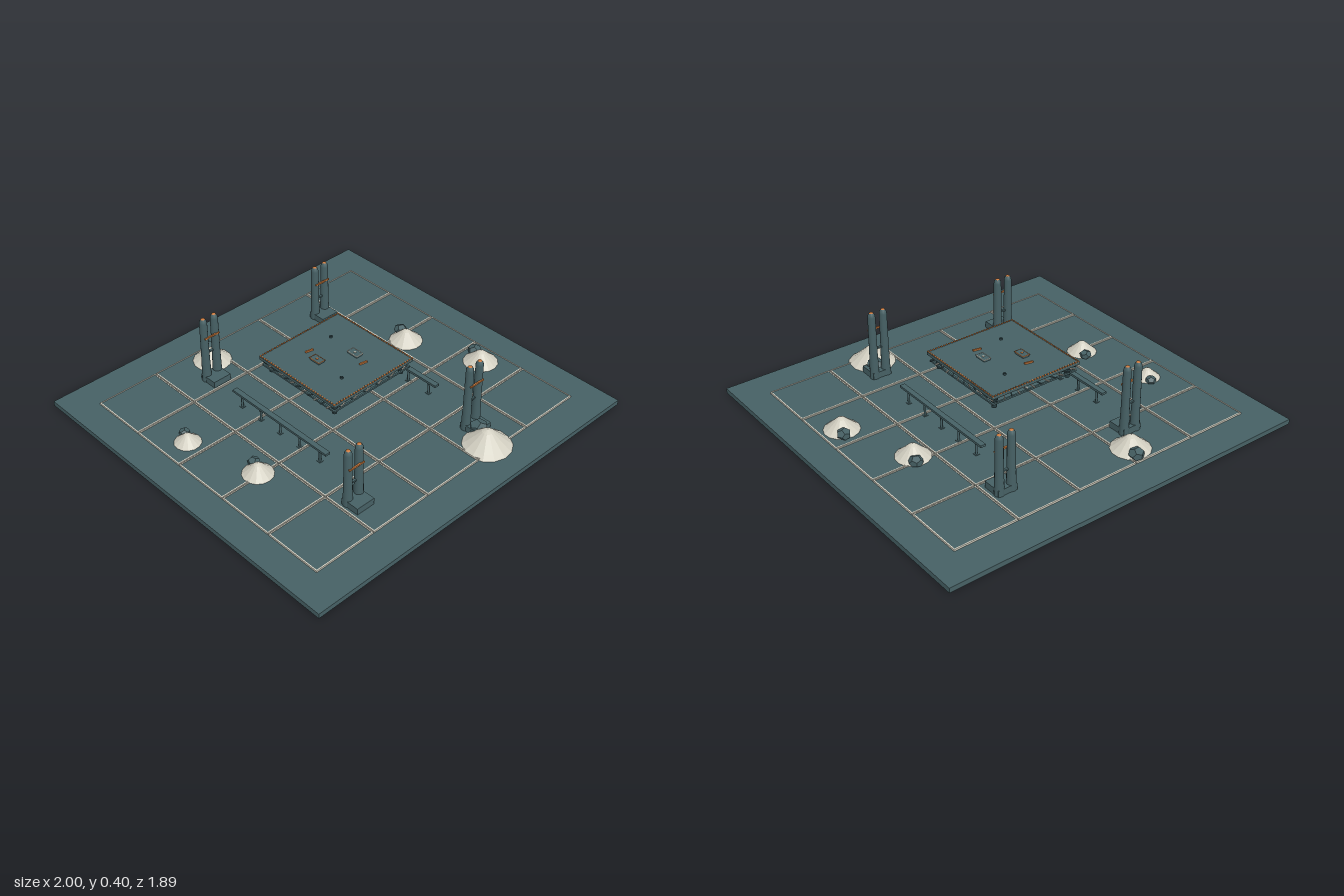
import * as THREE from 'three';

const mat = (name, color) => {
  const m = new THREE.MeshStandardMaterial({ color });
  m.name = name;
  return m;
};

export function createModel() {
  const root = new THREE.Group();
  root.name = 'industrialYard';
  const teal = mat('slate teal', 0x466064);
  const dark = mat('dark teal', 0x2b4044);
  const pale = mat('pale sand', 0xd3d0c2);
  const orange = mat('copper orange', 0xc8783c);

  const add = (parent, name, geo, material, x = 0, y = 0, z = 0) => {
    const m = new THREE.Mesh(geo, material);
    m.name = name;
    m.position.set(x, y, z);
    parent.add(m);
    return m;
  };
  const box = (parent, name, material, w, h, d, x, y, z) =>
    add(parent, name, new THREE.BoxGeometry(w, h, d), material, x, y, z);
  const group = (name, x = 0, y = 0, z = 0) => {
    const g = new THREE.Group();
    g.name = name;
    g.position.set(x, y, z);
    root.add(g);
    return g;
  };
  // square bar between two points
  const strut = (parent, name, material, a, b, t) => {
    const p = new THREE.Vector3(...a), q = new THREE.Vector3(...b);
    const m = box(parent, name, material, t, t, p.distanceTo(q), 0, 0, 0);
    m.position.copy(p).add(q).multiplyScalar(0.5);
    m.lookAt(q);
  };

  // ground slab
  box(root, 'groundSlab', teal, 2, 0.026, 1.894, 0, 0.013, -0.003);

  // paving tiles, each with a pale rim
  const px = 0.341, pz = 0.31, w = px - 0.005, d = pz - 0.005, rim = 0.006;
  for (let i = -2; i <= 2; i++) for (let j = -2; j <= 2; j++) {
    const g = group('tile', i * px, 0, j * pz - 0.003);
    box(g, 'tilePlate', teal, w - rim, 0.007, d - rim, 0, 0.0295, 0);
    for (const s of [-1, 1]) {
      box(g, 'tileRim', pale, rim, 0.009, d, s * (w - rim) / 2, 0.0305, 0);
      box(g, 'tileRim', pale, w - rim * 2, 0.009, rim, 0, 0.0305, s * (d - rim) / 2);
    }
  }

  // sand mounds with a boulder behind each: x, z, radius, top
  const mounds = [
    [-0.23, -0.67, 0.106, 0.108], [-0.72, -0.255, 0.073, 0.086],
    [-0.625, 0.137, 0.083, 0.096], [0.6, -0.11, 0.094, 0.102],
    [0.742, 0.277, 0.096, 0.102], [0.283, 0.72, 0.125, 0.123],
  ];
  mounds.forEach(([x, z, r, top], k) => {
    const g = group('mound', x, 0.028, z);
    const h = top - 0.028;
    const profile = [[1, 0], [0.8, 0.2], [0.5, 0.54], [0.22, 0.87], [0.001, 1]]
      .map(([a, b]) => new THREE.Vector2(a * r, b * h));
    const sand = new THREE.LatheGeometry(profile, 14).toNonIndexed();
    sand.computeVertexNormals();
    add(g, 'sandPile', sand, pale).rotation.y = k * 0.7;
    const rock = add(g, 'boulder', new THREE.DodecahedronGeometry(r * 0.38, 0), teal,
      r * 0.31, r * 0.26, -r * 0.7);
    rock.scale.y = 0.8;
    rock.rotation.y = k * 0.9;
  });

  // twin stacks: centre x, z, top height, brace height
  const stacks = [
    [-0.319, -0.562, 0.405, 0.295], [0.434, -0.583, 0.352, 0.25],
    [-0.437, 0.565, 0.352, 0.25], [0.331, 0.575, 0.405, 0.295],
  ];
  for (const [x, z, top, brace] of stacks) {
    const g = group('twinStack', x, 0, z);
    box(g, 'stackBase', teal, 0.104, 0.038, 0.1, 0, 0.048, 0.03);
    for (const s of [-1, 1]) {
      const h = top - 0.03;
      const column = [[0.0245, 0], [0.021, h * 0.4], [0.0195, h - 0.026], [0.017, h - 0.014], [0.011, h - 0.004]]
        .map(([a, b]) => new THREE.Vector2(a, b));
      add(g, 'stackColumn', new THREE.LatheGeometry(column, 14), teal, s * 0.0335, 0.028, 0);
      add(g, 'stackTip', new THREE.SphereGeometry(0.0112, 12, 5, 0, Math.PI * 2, 0, Math.PI / 2), orange,
        s * 0.0335, top - 0.008, 0).scale.y = 0.5;
    }
    box(g, 'stackBrace', orange, 0.09, 0.008, 0.008, 0, brace, 0.02);
    box(g, 'stackRung', teal, 0.05, 0.008, 0.012, 0, brace - 0.1, 0);
  }

  // raised rails on posts
  for (const s of [-1, 1]) {
    const g = group('rail', s * 0.364, 0, -0.003);
    box(g, 'railBeam', teal, 0.028, 0.012, 0.655, 0, 0.107, 0);
    for (let i = -2; i <= 2; i++) {
      add(g, 'railPost', new THREE.CylinderGeometry(0.006, 0.006, 0.076, 8), teal, 0, 0.065, i * 0.137);
      box(g, 'railFoot', teal, 0.022, 0.006, 0.022, 0, 0.033, i * 0.137);
    }
  }

  // hovering platform
  const deck = group('platform', 0, 0, -0.003);
  box(deck, 'deckPlate', teal, 0.52, 0.016, 0.516, 0, 0.284, 0);
  for (let side = 0; side < 4; side++) {
    const edge = new THREE.Group();
    edge.name = 'deckEdge';
    edge.rotation.y = side * Math.PI / 2;
    deck.add(edge);
    // copper studs along the rim
    for (let i = 0; i < 34; i++)
      box(edge, 'rimStud', orange, 0.008, 0.005, 0.007, -0.254 + i * 0.0154, 0.293, 0.2555);
    // truss below the rim
    box(edge, 'trussChord', teal, 0.5, 0.009, 0.009, 0, 0.243, 0.245);
    for (let i = 0; i < 12; i++) {
      const x = -0.24 + i * 0.04, up = i % 2;
      strut(edge, 'trussBrace', up ? pale : teal, [x, up ? 0.245 : 0.277, 0.245],
        [x + 0.04, up ? 0.277 : 0.245, 0.245], 0.005);
    }
  }
  // corner thrusters
  for (const sx of [-1, 1]) for (const sz of [-1, 1]) {
    add(deck, 'thruster', new THREE.CylinderGeometry(0.018, 0.012, 0.048, 10), dark, sx * 0.218, 0.229, sz * 0.218);
    add(deck, 'thrusterMount', new THREE.CylinderGeometry(0.014, 0.014, 0.03, 8), teal, sx * 0.218, 0.264, sz * 0.218);
  }
  // deck hatches, bars and knobs, mirrored about the centre
  for (const s of [-1, 1]) {
    const trim = s < 0 ? orange : pale, x = s * 0.083, z = s * 0.043;
    box(deck, 'hatch', teal, 0.038, 0.012, 0.062, x, 0.297, z);
    for (const e of [-1, 1]) {
      box(deck, 'hatchTrim', trim, 0.003, 0.003, 0.066, x + e * 0.02, 0.3025, z);
      box(deck, 'hatchTrim', trim, 0.04, 0.003, 0.003, x, 0.3025, z + e * 0.0325);
    }
    box(deck, 'hatchHandle', trim, 0.01, 0.003, 0.01, x, 0.304, z);
    box(deck, 'deckBar', orange, 0.044, 0.008, 0.008, s * 0.06, 0.296, s * 0.123).rotation.y = -0.2;
    add(deck, 'deckKnob', new THREE.CylinderGeometry(0.007, 0.008, 0.01, 8), dark, s * 0.093, 0.296, -s * 0.135);
  }

  return root;
}
